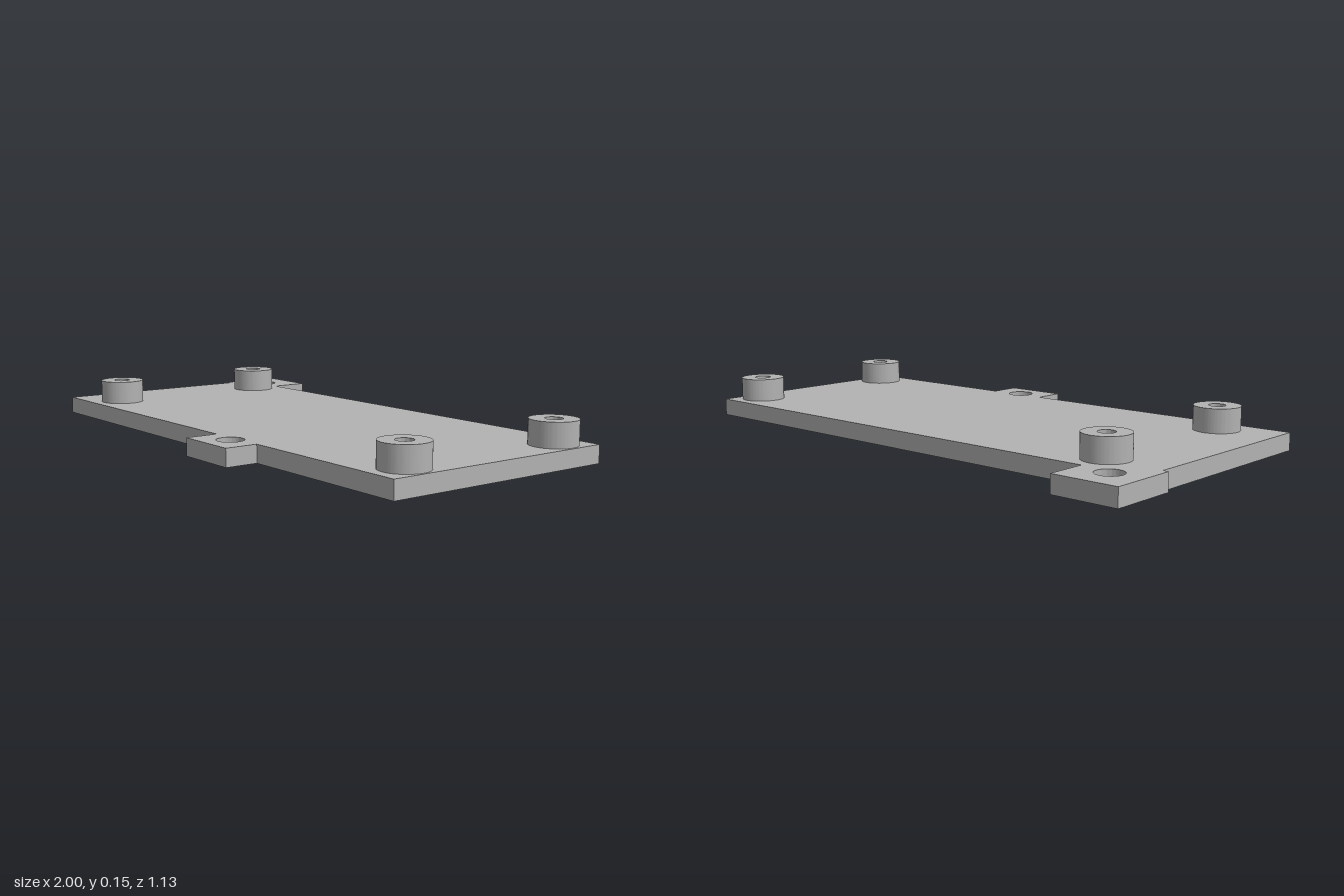
import * as THREE from 'three';
import { toCreasedNormals } from 'three/addons/utils/BufferGeometryUtils.js';

const PLATE_TOP = 0.062;
const BOSS_TOP = 0.146;
const BOSS_RADIUS = 0.081;
const BORE_RADIUS = 0.029;
const MOUNT_RADIUS = 0.047;

export function createModel() {
  const group = new THREE.Group();
  group.name = 'mountingPlate';
  const grey = new THREE.MeshStandardMaterial({ color: 0xb2b2b2 });
  grey.name = 'grey';

  // Plan shapes use (x, -z), so that extrusion runs upwards once laid flat
  const hole = (x, z, r) => new THREE.Path().absarc(x, -z, r, 0, Math.PI * 2, true);
  const addSlab = (name, shape, y0, y1) => {
    const geometry = new THREE.ExtrudeGeometry(shape, {
      depth: y1 - y0, bevelEnabled: false, curveSegments: 48,
    });
    geometry.rotateX(-Math.PI / 2);
    geometry.translate(0, y0, 0);
    const mesh = new THREE.Mesh(toCreasedNormals(geometry, 0.6), grey);
    mesh.name = name;
    group.add(mesh);
  };

  const bosses = [];
  for (const x of [-0.767, 0.911]) for (const z of [-0.301, 0.33]) bosses.push([x, z]);

  // Base plate with a back corner ear and a front tab
  const outline = [
    [-0.98, 0.447], [0.109, 0.447], [0.109, 0.564], [0.344, 0.564], [0.344, 0.447],
    [1, 0.447], [1, -0.418], [-0.763, -0.418], [-0.763, -0.564], [-1, -0.564],
    [-1, -0.318], [-0.98, -0.318],
  ];
  const plate = new THREE.Shape(outline.map(([x, z]) => new THREE.Vector2(x, -z)));
  plate.holes.push(hole(-0.882, -0.442, MOUNT_RADIUS), hole(0.226, 0.469, MOUNT_RADIUS));
  for (const [x, z] of bosses) plate.holes.push(hole(x, z, BORE_RADIUS));
  addSlab('basePlate', plate, 0, PLATE_TOP);

  // Four hollow standoffs, bored through the plate
  for (const [x, z] of bosses) {
    const ring = new THREE.Shape().absarc(x, -z, BOSS_RADIUS, 0, Math.PI * 2, false);
    ring.holes.push(hole(x, z, BORE_RADIUS));
    addSlab('standoff', ring, PLATE_TOP, BOSS_TOP);
  }
  return group;
}
